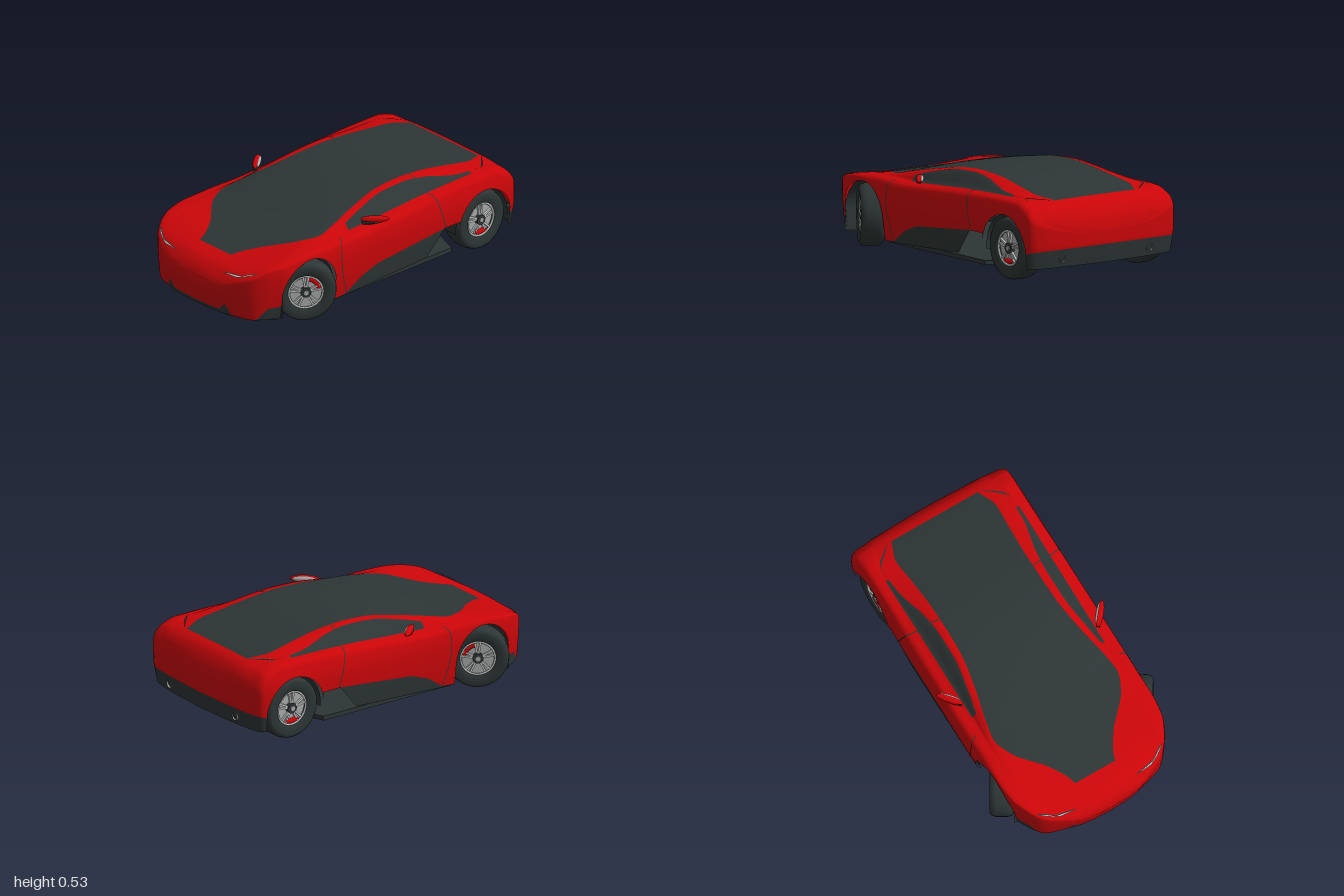
import * as THREE from 'three';

const D = THREE.DoubleSide;
const material = (name, color) => Object.assign(new THREE.MeshStandardMaterial({ color, side: D }), { name });

// Smooth monotone interpolation through rows [z, value, value...], z falling
function curve(rows, z, k = 1) {
  const n = rows.length;
  if (z >= rows[0][0]) return rows[0][k];
  if (z <= rows[n - 1][0]) return rows[n - 1][k];
  let i = 0;
  while (rows[i + 1][0] > z) i++;
  const d = j => (rows[j + 1][k] - rows[j][k]) / (rows[j + 1][0] - rows[j][0]);
  const slope = j => {
    if (j === 0) return d(0);
    if (j === n - 1) return d(n - 2);
    const a = d(j - 1), b = d(j);
    return a * b > 0 ? 2 * a * b / (a + b) : 0;
  };
  const h = rows[i + 1][0] - rows[i][0], t = (z - rows[i][0]) / h, t2 = t * t, t3 = t2 * t;
  return (2 * t3 - 3 * t2 + 1) * rows[i][k] + (t3 - 2 * t2 + t) * h * slope(i)
    + (3 * t2 - 2 * t3) * rows[i + 1][k] + (t3 - t2) * h * slope(i + 1);
}
const linear = (rows, z) => {
  let i = 0;
  while (i < rows.length - 2 && rows[i + 1][0] > z) i++;
  return THREE.MathUtils.mapLinear(z, rows[i][0], rows[i + 1][0], rows[i][1], rows[i + 1][1]);
};

// Lengthwise lines of the body: [z, half width] or [z, x, y]
const WIDTH = [[1, 0], [.997, .1], [.985, .19], [.97, .245], [.95, .295], [.93, .34], [.9, .388], [.85, .43], [.8, .46],
  [.74, .487], [.6, .505], [0, .508], [-.85, .51], [-.93, .5], [-.955, .48], [-.975, .4], [-.99, .25], [-1, 0]];
const BOTTOM = [[1, .065], [.98, .06], [.3, .06], [-.29, .09], [-.41, .235], [-.53, .235], [-.9, .085], [-1, .085]];
const TRIM = [[1, .085], [.985, .085], [.975, .13], [.962, .06], [.88, .06], [.83, .13], [.76, .135], [.38, .06], [.3, .07],
  [.2, .14], [.08, .185], [-.4, .235], [-.53, .235], [-.9, .17], [-1, .19]];
const SHOULDER = [[1, .19], [.985, .225], [.95, .265], [.9, .305], [.8, .355], [.6, .385], [.3, .37], [0, .375],
  [-.3, .385], [-.6, .41], [-.8, .41], [-.9, .38], [-.95, .34], [-.985, .29], [-1, .24]];
const BELT = [[1, .4, .2], [.985, .4, .237], [.95, .4, .28], [.9, .4, .32], [.8, .41, .368], [.6, .425, .4], [.4, .43, .41],
  [.25, .425, .407], [0, .425, .42], [-.3, .425, .44], [-.6, .427, .45], [-.8, .42, .452], [-.9, .41, .425], [-.95, .41, .37], [-1, .4, .255]];
const RAIL_OUT = [[1, .3, .203], [.985, .3, .243], [.95, .3, .286], [.9, .33, .323], [.8, .36, .362], [.6, .4, .402], [.4, .415, .42],
  [.28, .407, .43], [.1, .375, .475], [-.1, .347, .512], [-.25, .346, .518], [-.4, .36, .503], [-.5, .383, .482],
  [-.6, .403, .466], [-.75, .41, .454], [-.87, .37, .436], [-.92, .36, .415], [-.96, .36, .37], [-1, .36, .26]];
const RAIL_IN = [[1, .1, .205], [.985, .12, .253], [.95, .12, .296], [.9, .12, .33], [.82, .13, .348], [.66, .22, .378],
  [.62, .26, .388], [.52, .35, .412], [.4, .395, .426], [.3, .38, .448], [.1, .335, .487], [-.1, .305, .519], [-.25, .3, .525],
  [-.4, .3, .516], [-.6, .31, .488], [-.75, .32, .464], [-.87, .28, .444], [-.92, .27, .422], [-.96, .27, .377], [-1, .25, .265]];
const CENTRE = [[1, .21], [.985, .255], [.95, .3], [.9, .33], [.82, .348], [.65, .378], [.5, .416], [.4, .438], [.2, .486],
  [0, .518], [-.2, .529], [-.4, .519], [-.6, .491], [-.87, .446], [-.92, .425], [-.96, .38], [-.985, .33], [-1, .27]];
const ARCHES = [{ z: .575, y: .18, r: .187, drop: .12 }, { z: -.715, y: .175, r: .19, drop: .03 }];
// Rows in each strip: trim, side, shoulder, side window, rail, centre
const STEPS = [2, 8, 4, 3, 2, 6];

// Half cross-section at z, from the lower edge up to the centre line
function section(z) {
  const w = curve(WIDTH, z);
  let low = linear(BOTTOM, z);
  for (const a of ARCHES) if (Math.abs(z - a.z) <= a.r) low = a.y + Math.sqrt(a.r ** 2 - (z - a.z) ** 2);
  const trim = Math.max(low, linear(TRIM, z)), top = curve(SHOULDER, z);
  const side = y => [w * (1 - (y < .3 ? .045 * ((.3 - y) / .24) ** 2 : .03 * ((y - .3) / .1) ** 2)), y];
  const line = (rows, k) => [Math.min(curve(rows, z, 1), k * w), curve(rows, z, 2)];
  const s = side(top), b = line(BELT, .92), o = line(RAIL_OUT, .85), i = line(RAIL_IN, .8), c = curve(CENTRE, z);
  const mix = (p, q, t) => [p[0] + (q[0] - p[0]) * t, p[1] + (q[1] - p[1]) * t];
  const round = t => mix(mix(s, [s[0], b[1]], t), mix([s[0], b[1]], b, t), t);
  const strips = [t => side(low + (trim - low) * t), t => side(trim + (top - trim) * t), round,
    t => mix(b, o, t), t => mix(o, i, t), t => [i[0] * (1 - t), c + (i[1] - c) * (1 - t) ** 2]];
  const pts = [strips[0](0)];
  strips.forEach((f, k) => { for (let j = 1; j <= STEPS[k]; j++) pts.push(f(j / STEPS[k])); });
  return pts;
}

// Bumpers lean inwards below their widest line
const lean = (y, z) => z * (1 - .2 * Math.max(0, .2 - y) * THREE.MathUtils.smoothstep(Math.abs(z), .88, .98));

function geometryFrom(positions, index) {
  const g = new THREE.BufferGeometry();
  g.setAttribute('position', new THREE.Float32BufferAttribute(positions, 3));
  g.setIndex(index);
  g.computeVertexNormals();
  return g;
}
// Strip of quads over points laid in pairs
const pairStrip = pos => geometryFrom(pos,
  Array.from({ length: pos.length / 6 - 1 }, (_, i) => [0, 2, 1, 1, 2, 3].map(v => v + 2 * i)).flat());

export function createModel() {
  const car = new THREE.Group();
  car.name = 'sportsCar';
  const red = material('redPaint', 0xcc0609), dark = material('darkTrim', 0x2d3635);
  const metal = material('wheelMetal', 0xa9abab), light = material('lightMetal', 0xc6c8c8);
  const add = (name, geo, mat, parent = car) => {
    const m = new THREE.Mesh(geo, mat);
    m.name = name;
    parent.add(m);
    return m;
  };

  // Body shell: one lofted grid, divided into painted panels, glass and trim
  const zs = [.999, .997, .994, .985, .975, -.975, -.985, -.994, -.997, -.999];
  for (let i = 0; i <= 160; i++) zs.push(1 - i / 80);
  for (const a of ARCHES) for (const s of [-1, 1]) for (const e of [-.006, -.002, 0, .0005]) zs.push(a.z + s * (a.r + e));
  zs.sort((a, b) => b - a);
  const positions = [], parts = { bodyPanels: [], windscreenAndRoof: [], sideWindows: [], lowerTrim: [] };
  const stripOf = STEPS.flatMap((n, k) => Array(n).fill(k)), half = stripOf.length, across = 2 * half + 1;
  zs.forEach((z, i) => {
    const p = section(z);
    for (let j = 0; j < across; j++) {
      const q = p[j <= half ? j : 2 * half - j];
      positions.push(j <= half ? q[0] : -q[0], q[1], lean(q[1], z));
      if (i === zs.length - 1 || j === across - 1) continue;
      const k = stripOf[j < half ? j : 2 * half - 1 - j], m = (z + zs[i + 1]) / 2;
      const part = k === 0 ? 'lowerTrim' : k === 3 && m < .22 && m > -.69 ? 'sideWindows'
        : k === 5 && m < .82 && m > -.87 ? 'windscreenAndRoof' : 'bodyPanels';
      const a = i * across + j, b = a + across;
      parts[part].push(a, b, a + 1, b, b + 1, a + 1);
    }
  });
  const shell = geometryFrom(positions, Object.values(parts).flat());
  for (const [name, index] of Object.entries(parts)) {
    const g = shell.clone();
    g.setIndex(index);
    add(name, g, name === 'bodyPanels' ? red : dark);
  }

  // Thin ribbons lying just above the shell; f(t) gives [z, row, half width]
  function ribbon(name, mat, n, f, lift) {
    for (const s of [1, -1]) {
      const pos = [];
      for (let i = 0; i <= n; i++) {
        const [zc, r, h] = f(i / n), k = Math.min(Math.floor(r), half - 1);
        for (const z of [zc + s * h, zc - s * h]) {
          const p = section(z), at = c => p[k][c] + (p[k + 1][c] - p[k][c]) * (r - k);
          pos.push(s * (at(0) + lift[0]), at(1) + lift[1], z + lift[2]);
        }
      }
      add(name, pairStrip(pos), mat);
    }
  }
  const leaf = (z0, r0, z1, r1, h) => t => [z0 + (z1 - z0) * t, r0 + (r1 - r0) * t, h * Math.sin(Math.PI * t)];
  ribbon('headlightSurround', dark, 24, leaf(.94, 18.2, .866, 12.8, .013), [.001, .003, .004]);
  ribbon('headlight', light, 24, leaf(.938, 18, .87, 13, .008), [.002, .005, .007]);
  ribbon('rearVent', dark, 16, leaf(-.69, 15.5, -.88, 18.6, .012), [0, .004, -.002]);
  ribbon('doorFrontSeam', dark, 16, t => [.3 + .05 * Math.sin(Math.PI * t * .85), 2 + 11 * t, .003], [.003, .001, 0]);
  ribbon('doorRearSeam', dark, 24, t => [-.42 + .095 * t, 2 + 17 * t, .003], [.003, .002, 0]);

  // Underbody: flat floor, rising rear floor and bumper closing plate
  const outline = [[.2, .94], [.34, .89], [.45, .77], [.29, .765], [.29, .385], [.47, .37], [.47, -.5], [.3, -.56]];
  const floorShape = new THREE.Shape([...outline, ...outline.slice().reverse().map(([x, z]) => [-x, z])]
    .map(([x, z]) => new THREE.Vector2(x, -z)));
  add('floor', new THREE.ExtrudeGeometry(floorShape, { depth: .025, bevelEnabled: false }).rotateX(-Math.PI / 2), dark).position.y = .05;
  const ramp = [[.3, .06, -.55], [.29, .17, -.8], [.29, .18, -.91], [.46, .18, -.912], [.46, .175, -.955], [.2, .175, -.985]];
  add('rearFloor', pairStrip(ramp.flatMap(([x, y, z]) => [x, y, z, -x, y, z])), dark);

  for (const s of [1, -1]) {
    // Wheel housings: a lining over each wheel and a wall behind it
    for (const { z, y, r, drop } of ARCHES) {
      const rim = [[r, -drop]];
      for (let i = 0; i <= 28; i++) rim.push([r * Math.cos(i * Math.PI / 28), r * Math.sin(i * Math.PI / 28)]);
      rim.push([-r, -drop]);
      const lining = pairStrip(rim.flatMap(([a, b]) => [s * .275, b, a, s * .478, b, a]));
      add('wheelHousing', lining, dark).position.set(0, y, z);
      const wall = new THREE.ShapeGeometry(new THREE.Shape(rim.map(p => new THREE.Vector2(...p))));
      add('housingWall', wall.rotateY(-Math.PI / 2), dark).position.set(s * .275, y, z);
    }

    // Wheels; the front pair is steered
    for (const front of [true, false]) {
      const wheel = new THREE.Group();
      wheel.name = front ? 'frontWheel' : 'rearWheel';
      wheel.position.set(s * (front ? .445 : .418), .175, front ? .572 : -.715);
      wheel.rotation.y = (front ? -.56 : 0) + (s < 0 ? Math.PI : 0);
      car.add(wheel);
      const profile = [[.02, -.05], [.098, -.05], [.105, -.062], [.15, -.067], [.168, -.055], [.175, -.03], [.175, .03], [.168, .055],
        [.15, .067], [.105, .062], [.098, .05], [.096, .02]].map(p => new THREE.Vector2(...p));
      add('tyre', new THREE.LatheGeometry(profile, 40).rotateZ(-Math.PI / 2), dark, wheel);
      const drum = (name, r, w, x, mat) =>
        add(name, new THREE.CylinderGeometry(r, r, w, 32).rotateZ(-Math.PI / 2), mat, wheel).position.x = x;
      drum('brakeDisc', .096, .02, .025, metal);
      drum('hub', .03, .035, .04, dark);
      drum('hubCap', .014, .006, .06, metal);
      drum('axleStub', .025, .12, -.1, dark);
      add('rimRing', new THREE.TorusGeometry(.095, .006, 8, 40).rotateY(Math.PI / 2).translate(.05, 0, 0), light, wheel);
      for (let i = 0; i < 10; i++) {
        const a = Math.floor(i / 2) * Math.PI * .4 + (i % 2 ? .16 : -.16);
        add('spoke', new THREE.BoxGeometry(.012, .07, .011).translate(.046, .06, 0).rotateX(a), light, wheel);
      }
      const length = 1.1, begin = front ? .25 : 4.15, start = s > 0 ? begin : Math.PI - begin - length;
      add('brakeCaliper', new THREE.TorusGeometry(.078, .015, 8, 12, length).rotateZ(start).rotateY(Math.PI / 2)
        .translate(.04, 0, 0), red, wheel);
    }

    // Door mirrors
    const mirror = new THREE.Group();
    mirror.name = 'doorMirror';
    mirror.position.set(s * .482, .448, .08);
    mirror.rotation.y = s * .87;
    car.add(mirror);
    add('mirrorShell', new THREE.SphereGeometry(1, 24, 14).scale(.08, .02, .02), red, mirror);
    add('mirrorGlass', new THREE.SphereGeometry(1, 20, 12).scale(.066, .016, .012), metal, mirror).position.z = -.012;
    add('mirrorUnderside', new THREE.SphereGeometry(1, 20, 12).scale(.06, .013, .018), dark, mirror).position.set(-s * .015, -.014, 0);
    add('mirrorStalk', new THREE.BoxGeometry(.05, .012, .02), dark, mirror).position.set(-s * .045, -.022, 0);

    // Exhaust pipes
    add('exhaust', new THREE.CylinderGeometry(.022, .022, .05, 20, 1, true).rotateX(Math.PI / 2), metal)
      .position.set(s * .3, .135, -.955);
  }
  return car;
}
